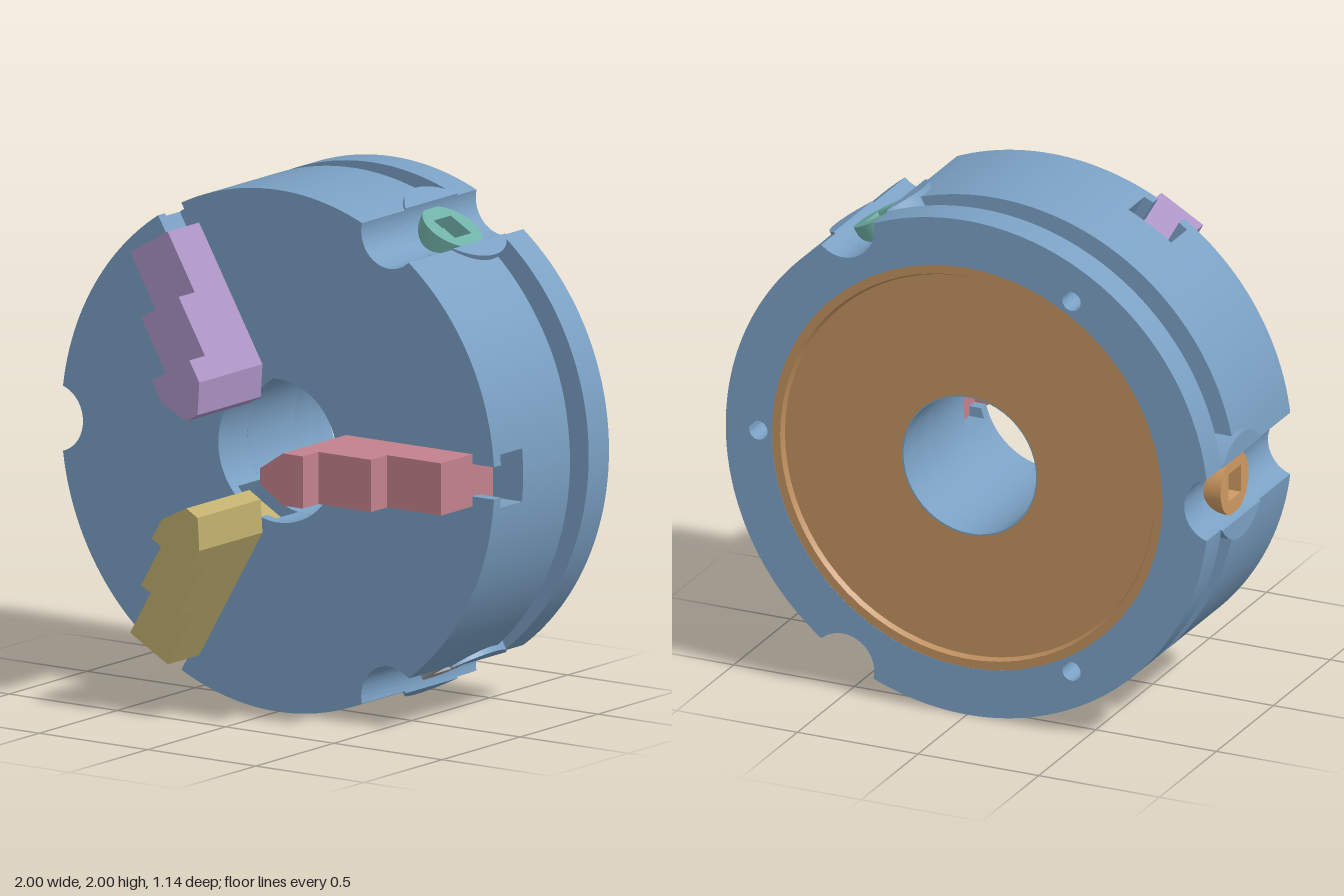
import * as THREE from 'three';
import { toCreasedNormals } from 'three/addons/utils/BufferGeometryUtils.js';

const mat = (name, color) => Object.assign(new THREE.MeshStandardMaterial({ color }), { name });
const THIRD = Math.PI * 2 / 3;
const BORE = 0.275, RIM = 1;
const NOTCH = { c: 1.03, r: 0.13 };   // scallop centre distance and radius
const PINION_Z = -0.28;
// turns an extrusion so its depth points outwards along x
const RADIAL = new THREE.Matrix4().makeBasis(
  new THREE.Vector3(0, 1, 0), new THREE.Vector3(0, 0, 1), new THREE.Vector3(1, 0, 0));

function extrude(shape, from, to, steps = 1) {
  const g = new THREE.ExtrudeGeometry(shape, { depth: to - from, steps, bevelEnabled: false, curveSegments: 24 });
  return g.translate(0, 0, from);
}

function add(group, name, geometry, material) {
  const mesh = new THREE.Mesh(toCreasedNormals(geometry, 0.5), material);
  mesh.name = name;
  group.add(mesh);
  return mesh;
}

// one third of the rim, with its scallop in the middle
function rimArc(shape, R, start, gap) {
  const { c, r } = NOTCH, mid = start + THIRD / 2;
  const phi = Math.acos((R * R + c * c - r * r) / (2 * R * c));
  const beta = Math.atan2(R * Math.sin(phi), c - R * Math.cos(phi));
  shape.absarc(0, 0, R, start + gap, mid - phi, false);
  shape.absarc(c * Math.cos(mid), c * Math.sin(mid), r, mid + Math.PI + beta, mid + Math.PI - beta, true);
  shape.absarc(0, 0, R, mid + phi, start + THIRD - gap, false);
}

function circlePath(x, y, r) {
  return new THREE.Path().absarc(x, y, r, 0, Math.PI * 2, true);
}

// full disc with scallops and a central hole
function discShape(R, hole) {
  const s = new THREE.Shape();
  for (let k = 0; k < 3; k++) rimArc(s, R, k * THIRD, 0);
  s.holes.push(circlePath(0, 0, hole));
  return s;
}

// sector between two jaw slots of half width h
function sectorShape(h) {
  const a = Math.asin(h / BORE), b = Math.asin(h / RIM);
  const s = new THREE.Shape();
  s.moveTo(BORE * Math.cos(a), h);
  rimArc(s, RIM, 0, b);
  s.absarc(0, 0, BORE, THIRD - a, a, true);
  return s;
}

function makeBody(blue) {
  const body = new THREE.Group();
  body.name = 'chuckBody';
  // slotted front layers
  for (let k = 0; k < 3; k++) {
    add(body, 'frontSector', extrude(sectorShape(0.062), 0.12, 0.165), blue).rotation.z = k * THIRD;
    add(body, 'slotSector', extrude(sectorShape(0.102), -0.02, 0.12), blue).rotation.z = k * THIRD;
  }
  add(body, 'mainDisc', extrude(discShape(RIM, BORE), -0.32, -0.02), blue);
  add(body, 'grooveDisc', extrude(discShape(0.91, BORE), -0.44, -0.32), blue);
  // back flange with bolt holes
  const flange = discShape(RIM, 0.81);
  for (let k = 0; k < 3; k++)
    flange.holes.push(circlePath(0.865 * Math.cos(k * THIRD), 0.865 * Math.sin(k * THIRD), 0.038));
  add(body, 'backFlange', extrude(flange, -0.57, -0.44), blue);
  // bore sleeve inside the scroll plate
  const sleeve = new THREE.Shape().absarc(0, 0, 0.283, 0, Math.PI * 2, false);
  sleeve.holes.push(circlePath(0, 0, BORE));
  add(body, 'boreSleeve', extrude(sleeve, -0.546, -0.44), blue);
  return body;
}

// flat round boss beside each scallop, its inner edge following the scallop wall
function bossGeometry(side) {
  const wall = r => Math.sqrt(NOTCH.r ** 2 - (NOTCH.c - r) ** 2);
  const R = 0.21, t0 = wall(1), g0 = Math.acos(t0 / R);
  const g = extrude(new THREE.Shape().absarc(0, 0, R, -g0, g0, false), 0.905, 1, 8);
  const p = g.attributes.position;
  for (let i = 0; i < p.count; i++)
    if (Math.abs(p.getX(i) - t0) < 1e-4) p.setX(i, wall(p.getZ(i)));
  g.applyMatrix4(RADIAL);
  if (side < 0) g.rotateX(Math.PI);
  return g.translate(0, 0, PINION_Z);
}

// drive pinion with a square key socket
function makePinion(material) {
  const g = new THREE.Group();
  const s = new THREE.Shape().absarc(0, 0, 0.123, 0, Math.PI * 2, false);
  const q = 0.055;
  s.holes.push(new THREE.Path([[-q, -q], [-q, q], [q, q], [q, -q]].map(v => new THREE.Vector2(...v))));
  add(g, 'pinionHead', extrude(s, 0.86, 0.972).applyMatrix4(RADIAL), material);
  const floor = new THREE.Shape().absarc(0, 0, 0.1, 0, Math.PI * 2, false);
  add(g, 'socketFloor', extrude(floor, 0.87, 0.91).applyMatrix4(RADIAL), material);
  g.children.forEach(m => { m.position.z = PINION_Z; });
  return g;
}

// stepped jaw pointing at the centre, with a T-shaped guide below
function makeJaw(material) {
  const g = new THREE.Group();
  const plan = pts => new THREE.Shape(pts.map(v => new THREE.Vector2(...v)));
  const steps = [[0.165, 0.367, 0.9], [0.367, 0.47, 0.65], [0.47, 0.57, 0.407]];
  for (const [z0, z1, end] of steps)
    add(g, 'jawStep', extrude(plan([[0.21, -0.03], [0.315, -0.1], [end, -0.1],
      [end, 0.1], [0.315, 0.1], [0.21, 0.03]]), z0, z1), material);
  const guide = [[0.12, 0.165, 0.06, 0.9], [0.035, 0.12, 0.1, 0.9], [-0.01, 0.035, 0.1, 0.84]];
  for (const [z0, z1, h, end] of guide)
    add(g, 'jawGuide', extrude(plan([[0.315, -h], [end, -h], [end, h], [0.315, h]]), z0, z1), material);
  return g;
}

export function createModel() {
  const blue = mat('bodyBlue', 0x7aa0c3);
  const brown = mat('scrollBrown', 0xc0905f);
  brown.side = THREE.DoubleSide;
  const jawMats = [mat('jawRed', 0xc3818b), mat('jawPurple', 0xac93c5), mat('jawOlive', 0xc0ae6e)];
  const pinionMats = [mat('pinionTeal', 0x70b0a6), mat('pinionOrange', 0xcf9a63), mat('pinionGrey', 0xa2a5ab)];

  const model = new THREE.Group();
  model.name = 'threeJawChuck';
  const chuck = new THREE.Group();
  chuck.name = 'chuck';
  chuck.position.y = 1;
  model.add(chuck);
  chuck.add(makeBody(blue));

  // scroll plate with a raised outer ring, set in the back
  const profile = [[0.28, -0.548], [0.765, -0.548], [0.775, -0.569], [0.812, -0.569]];
  const scroll = new THREE.LatheGeometry(profile.map(v => new THREE.Vector2(...v)), 72).rotateX(Math.PI / 2);
  add(chuck, 'scrollPlate', scroll, brown);

  for (let k = 0; k < 3; k++) {
    const jaw = makeJaw(jawMats[k]);
    jaw.name = 'jaw' + (k + 1);
    jaw.rotation.z = k * THIRD;
    const drive = new THREE.Group();
    drive.name = 'drive' + (k + 1);
    drive.rotation.z = (k + 0.5) * THIRD;
    const pinion = makePinion(pinionMats[k]);
    pinion.name = 'pinion' + (k + 1);
    drive.add(pinion);
    for (const side of [1, -1]) add(drive, 'boss', bossGeometry(side), blue);
    chuck.add(jaw, drive);
  }
  return model;
}
